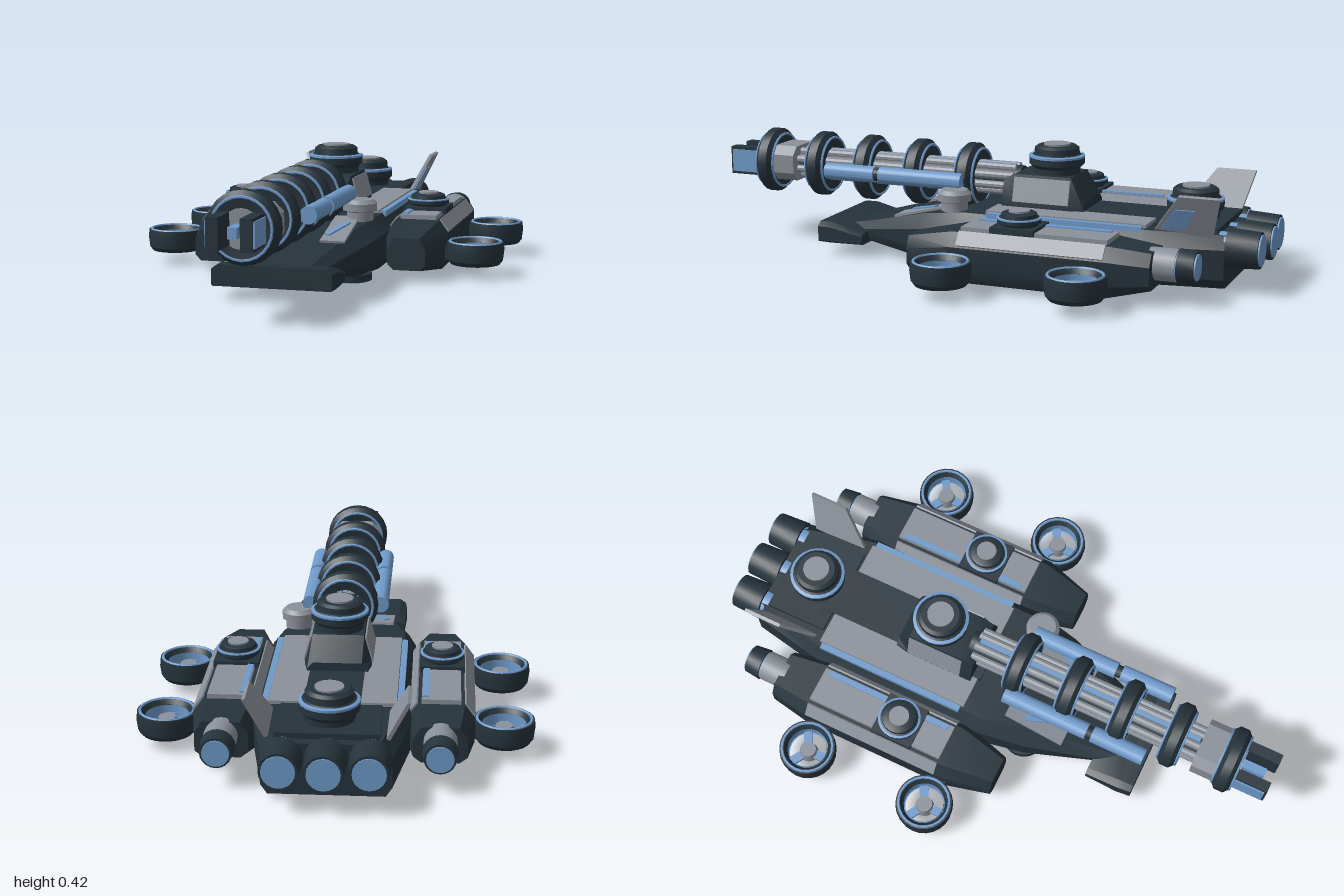
import * as THREE from 'three';
import { toCreasedNormals } from 'three/addons/utils/BufferGeometryUtils.js';

const material = (name, color) => {
  const m = new THREE.MeshStandardMaterial({ color });
  m.name = name;
  return m;
};

export function createModel() {
  const dark = material('dark armour', 0x26333b);
  const grey = material('grey plate', 0x8a9099);
  const blue = material('blue trim', 0x6f9aca);
  const model = new THREE.Group();
  model.name = 'hoverTank';

  function add(name, geo, mat, x = 0, y = 0, z = 0, parent = model) {
    const mesh = new THREE.Mesh(toCreasedNormals(geo, 0.5), mat);
    mesh.name = name;
    mesh.position.set(x, y, z);
    parent.add(mesh);
    return mesh;
  }
  const box = (name, mat, w, h, d, x, y, z, parent) =>
    add(name, new THREE.BoxGeometry(w, h, d), mat, x, y, z, parent);
  const rod = (name, mat, r, z0, z1, x, y, r1 = r, n = 20) =>
    add(name, new THREE.CylinderGeometry(r1, r, z1 - z0, n).rotateX(Math.PI / 2), mat, x, y, (z0 + z1) / 2);
  const lathe = (pts, n = 24) =>
    new THREE.LatheGeometry(pts.map(p => new THREE.Vector2(...p)), n);

  // Body lofted through eight-sided sections:
  // [z, bottomY, lowY, highY, topY, bottomHalf, midHalf, topHalf]
  function loft(sections) {
    const rings = sections.map(([z, y0, ya, yb, y1, b, m, t]) => [
      [b, y0, z], [m, ya, z], [m, yb, z], [t, y1, z],
      [-t, y1, z], [-m, yb, z], [-m, ya, z], [-b, y0, z]]);
    const pos = [];
    const tri = (...p) => p.forEach(v => pos.push(...v));
    for (let i = 0; i + 1 < rings.length; i++) {
      for (let j = 0; j < 8; j++) {
        const k = (j + 1) % 8, p = rings[i], q = rings[i + 1];
        tri(p[j], p[k], q[k]);
        tri(p[j], q[k], q[j]);
      }
    }
    const back = rings[0], front = rings[rings.length - 1];
    for (let j = 1; j < 7; j++) {
      tri(front[0], front[j], front[j + 1]);
      tri(back[0], back[j + 1], back[j]);
    }
    const geo = new THREE.BufferGeometry();
    geo.setAttribute('position', new THREE.Float32BufferAttribute(pos, 3));
    geo.computeVertexNormals();
    return geo;
  }

  // Main hull and nose
  add('hull', loft([
    [-0.88, 0.02, 0.05, 0.15, 0.19, 0.18, 0.2, 0.16],
    [-0.62, 0.02, 0.06, 0.15, 0.2, 0.22, 0.25, 0.22],
    [0.02, 0.02, 0.06, 0.15, 0.2, 0.22, 0.25, 0.21],
    [0.18, 0.025, 0.06, 0.13, 0.175, 0.2, 0.22, 0.17],
    [0.42, 0.05, 0.07, 0.09, 0.115, 0.13, 0.14, 0.11],
    [0.5, 0.055, 0.07, 0.085, 0.1, 0.11, 0.12, 0.1]]), dark);
  add('noseBlade', loft([
    [0.41, 0.045, 0.05, 0.075, 0.085, 0.19, 0.2, 0.18],
    [0.53, 0.045, 0.05, 0.1, 0.115, 0.2, 0.205, 0.18],
    [0.58, 0.045, 0.05, 0.1, 0.115, 0.195, 0.2, 0.18]]), dark);
  box('deckSpine', dark, 0.18, 0.015, 0.62, 0, 0.205, -0.36);
  box('rearDeck', dark, 0.32, 0.02, 0.22, 0, 0.2, -0.74);

  // Round turret with blue rings and a grey cap
  function turret(name, x, y, z, r, h) {
    const g = new THREE.Group();
    g.name = name;
    g.position.set(x, y, z);
    model.add(g);
    add('turretBody', lathe([[0, 0], [r * 0.85, 0], [r * 0.85, h * 0.25], [r, h * 0.38], [r, h * 0.62],
      [r * 0.82, h * 0.72], [r * 0.8, h * 0.92], [r * 0.68, h], [0, h]]), dark, 0, 0, 0, g);
    add('turretRing', lathe([[r * 0.9, h * 0.6], [r * 1.01, h * 0.6], [r * 1.01, h * 0.67], [r * 0.9, h * 0.7]]), blue, 0, 0, 0, g);
    add('turretCap', new THREE.CylinderGeometry(r * 0.48, r * 0.48, 0.008, 20), grey, 0, h + 0.002, 0, g);
  }
  turret('rearTurret', 0, 0.2, -0.73, 0.095, 0.11);
  turret('gunTurret', 0, 0.315, -0.24, 0.095, 0.1);

  // Gun mount
  add('gunMount', loft([
    [-0.37, 0.19, 0.2, 0.22, 0.24, 0.1, 0.1, 0.08],
    [-0.32, 0.19, 0.2, 0.23, 0.32, 0.11, 0.11, 0.085],
    [-0.12, 0.19, 0.2, 0.23, 0.32, 0.11, 0.11, 0.085],
    [-0.08, 0.19, 0.2, 0.23, 0.3, 0.11, 0.11, 0.085]]), dark);

  // Rotary gun: core, rods, rings
  const gunY = 0.285;
  rod('gunCore', dark, 0.048, -0.12, 0.86, 0, gunY);
  for (let i = 0; i < 8; i++) {
    const a = (i + 0.5) * Math.PI / 4;
    rod('gunBarrel', grey, 0.014, -0.1, 0.74, Math.cos(a) * 0.052, gunY + Math.sin(a) * 0.045, 0.014, 10);
  }
  box('gunTopStrip', blue, 0.016, 0.012, 0.82, 0, gunY + 0.046, 0.32);
  for (const z of [0.07, 0.265, 0.46, 0.65, 0.85]) {
    add('gunRing', lathe([[0.06, -0.03], [0.095, -0.034], [0.115, -0.016], [0.115, 0.016],
      [0.095, 0.034], [0.06, 0.03], [0.06, -0.03]]).rotateX(Math.PI / 2), dark, 0, gunY, z);
    for (const s of [-1, 1]) {
      add('gunRingTrim', new THREE.TorusGeometry(0.096, 0.005, 6, 24), blue, 0, gunY, z + s * 0.032);
    }
  }
  add('muzzleBlock', loft([
    [0.735, 0.225, 0.255, 0.32, 0.35, 0.06, 0.09, 0.06],
    [0.825, 0.225, 0.255, 0.32, 0.35, 0.06, 0.09, 0.06]]), grey);
  rod('muzzleFace', grey, 0.062, 0.86, 0.89, 0, gunY);
  box('muzzleCore', blue, 0.03, 0.035, 0.1, 0, gunY, 0.92);

  // Small hatch dome on the left of the nose
  add('hatchDome', lathe([[0.045, 0], [0.045, 0.03], [0.058, 0.035], [0.058, 0.06], [0.045, 0.073], [0, 0.073]]),
    grey, 0.165, 0.195, 0.07);

  // Main engines
  for (const x of [-0.135, 0, 0.135]) {
    const end = x ? -0.985 : -0.995;
    rod('engineCollar', blue, 0.052, -0.89, -0.82, x, 0.145);
    rod('engineBell', dark, 0.06, end, -0.88, x, 0.145, 0.066);
    rod('engineGlow', blue, 0.052, end - 0.005, end + 0.002, x, 0.145);
  }

  for (const s of [-1, 1]) {
    // Hull deck plates
    box('deckPlate', grey, 0.115, 0.02, 0.56, s * 0.145, 0.202, -0.34);
    box('deckStripe', blue, 0.02, 0.02, 0.54, s * 0.214, 0.198, -0.34);
    const nosePlate = box('nosePlate', grey, 0.085, 0.008, 0.22, s * 0.125, 0.18, 0.19);
    nosePlate.rotation.x = 0.24;
    const noseStripe = box('noseStripe', blue, 0.02, 0.008, 0.12, s * 0.12, 0.183, 0.2);
    noseStripe.rotation.set(0.24, s * -0.4, 0);
    const mountPlate = box('mountPlate', grey, 0.008, 0.085, 0.2, s * 0.1, 0.27, -0.22);
    mountPlate.rotation.z = s * 0.27;

    // Side pod
    const pod = add('sidePod', loft([
      [-0.7, 0.05, 0.07, 0.13, 0.17, 0.06, 0.085, 0.06],
      [-0.56, 0.02, 0.06, 0.14, 0.185, 0.09, 0.108, 0.075],
      [-0.03, 0.02, 0.06, 0.14, 0.185, 0.09, 0.108, 0.075],
      [0.14, 0.04, 0.06, 0.11, 0.15, 0.045, 0.065, 0.045]]), dark);
    pod.position.x = s * 0.342;
    box('podInnerJoint', dark, 0.06, 0.1, 0.56, s * 0.24, 0.1, -0.3);
    box('podPlate', grey, 0.125, 0.02, 0.5, s * 0.342, 0.19, -0.305);
    for (const e of [-1, 1]) {
      const slope = box('podSlopePlate', grey, 0.052, 0.006, 0.5, s * 0.342 + e * 0.092, 0.168, -0.305);
      slope.rotation.z = -e * 0.94;
    }
    box('podStripe', blue, 0.02, 0.006, 0.46, s * 0.292, 0.202, -0.305);
    box('podTurretBase', dark, 0.15, 0.02, 0.15, s * 0.342, 0.2, -0.235);
    turret('podTurret', s * 0.342, 0.2, -0.235, 0.073, 0.053);

    // Pod engine
    rod('podEngineCollar', grey, 0.053, -0.77, -0.68, s * 0.342, 0.125);
    rod('podEngineTrim', blue, 0.049, -0.785, -0.765, s * 0.342, 0.125);
    rod('podEngineBell', dark, 0.05, -0.83, -0.775, s * 0.342, 0.125, 0.056);
    rod('podEngineGlow', blue, 0.043, -0.835, -0.828, s * 0.342, 0.125);

    // Lift fans with spokes and hub
    for (const z of [-0.5, -0.045]) {
      const fan = new THREE.Group();
      fan.name = 'liftFan';
      fan.position.set(s * 0.545, 0.082, z);
      model.add(fan);
      add('fanRing', lathe([[0.072, -0.03], [0.085, -0.04], [0.096, -0.025], [0.1, 0.01], [0.097, 0.036],
        [0.084, 0.037], [0.072, 0.02], [0.072, -0.03]]), dark, 0, 0, 0, fan);
      add('fanTrim', new THREE.TorusGeometry(0.088, 0.005, 6, 24).rotateX(Math.PI / 2), blue, 0, 0.036, 0, fan);
      add('fanLiner', lathe([[0.071, 0.02], [0.071, -0.02], [0.067, -0.02], [0.067, 0.02], [0.071, 0.02]]), blue, 0, 0, 0, fan);
      add('fanHub', new THREE.CylinderGeometry(0.028, 0.034, 0.04, 16), grey, 0, -0.008, 0, fan);
      for (let i = 0; i < 3; i++) {
        const a = i * Math.PI * 2 / 3 + 0.5;
        const spoke = box('fanSpoke', blue, 0.05, 0.012, 0.03, Math.cos(a) * 0.048, -0.012, -Math.sin(a) * 0.048, fan);
        spoke.rotation.y = a;
      }
      box('fanArm', dark, 0.04, 0.05, 0.07, -s * 0.098, 0, 0, fan);
    }

    // Tail fin leaning outward, with an outer blue panel
    const fin = new THREE.Group();
    fin.name = 'tailFin';
    fin.position.set(s * 0.185, 0.19, 0);
    fin.rotation.z = -s * 0.43;
    model.add(fin);
    const finPlate = (name, mat, pts, t, x) => {
      const shape = new THREE.Shape(pts.map(p => new THREE.Vector2(...p)));
      const geo = new THREE.ExtrudeGeometry(shape, { depth: t, bevelEnabled: false });
      add(name, geo.translate(0, 0, -t / 2).rotateY(Math.PI / 2), mat, x, 0, 0, fin);
    };
    finPlate('finBlade', grey, [[0.64, 0], [0.84, 0], [0.875, 0.15], [0.74, 0.15]], 0.012, 0);
    finPlate('finPanel', blue, [[0.67, 0.02], [0.75, 0.02], [0.79, 0.1], [0.725, 0.1]], 0.006, s * 0.006);

    // Cylinders slung beside the gun
    for (const [z0, z1] of [[0.06, 0.37], [0.39, 0.58]]) {
      rod('sideCanister', blue, 0.029, z0, z1, s * 0.122, gunY);
    }
    rod('canisterJoint', dark, 0.022, 0.36, 0.4, s * 0.122, gunY);

    // Muzzle prongs with blue outer faces
    box('muzzleProng', dark, 0.038, 0.1, 0.14, s * 0.053, gunY, 0.93);
    box('prongPanel', blue, 0.008, 0.08, 0.11, s * 0.073, gunY, 0.937);

    // Lift pads under the hull
    for (const z of [0.15, -0.54]) {
      add('liftPadRim', new THREE.CylinderGeometry(0.075, 0.075, 0.024, 24), dark, s * 0.15, 0.016, z);
      add('liftPad', new THREE.CylinderGeometry(0.066, 0.066, 0.008, 24), blue, s * 0.15, 0.004, z);
    }
  }
  return model;
}
